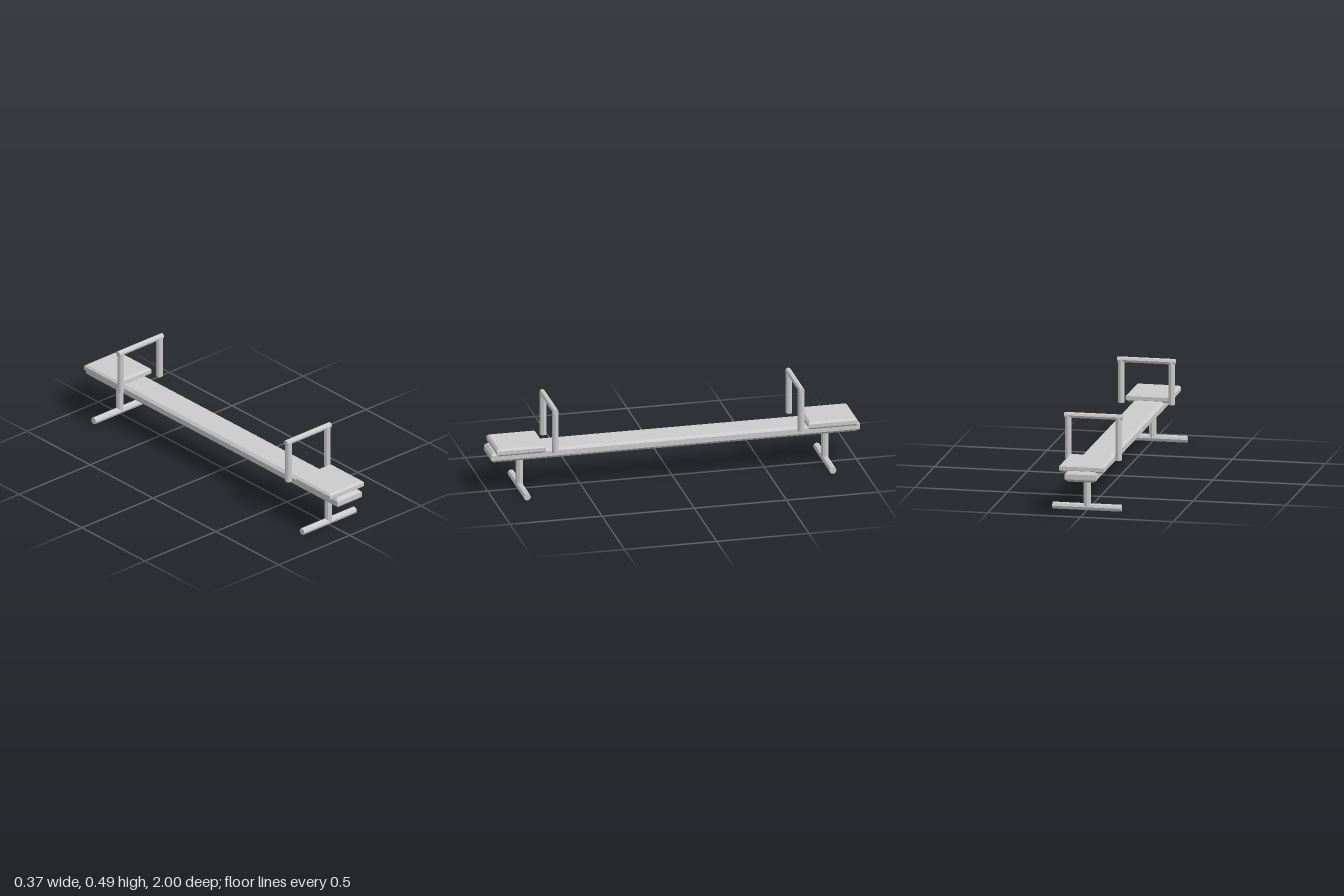
import * as THREE from 'three';

const paint = new THREE.MeshStandardMaterial({ color: 0xcccccc, flatShading: true });
paint.name = 'light grey';

function add(parent, name, geometry, x, y, z) {
  const mesh = new THREE.Mesh(geometry, paint);
  mesh.name = name;
  mesh.position.set(x, y, z);
  parent.add(mesh);
  return mesh;
}

// Box whose top and bottom rims are bevelled at 45 degrees
function bevelledBox(w, h, d, bevel) {
  const geo = new THREE.BoxGeometry(w, h, d, 1, 3, 1);
  const p = geo.attributes.position;
  for (let i = 0; i < p.count; i++) {
    const x = p.getX(i), y = p.getY(i), z = p.getZ(i);
    if (Math.abs(y) > h * 0.4) {
      p.setXYZ(i, x - Math.sign(x) * bevel, y, z - Math.sign(z) * bevel);
    } else {
      p.setY(i, Math.sign(y) * (h / 2 - bevel));
    }
  }
  geo.computeVertexNormals();
  return geo;
}

// Eight-sided upright tube between two heights
function upright(parent, name, radius, x, y0, y1, z) {
  add(parent, name, new THREE.CylinderGeometry(radius, radius, y1 - y0, 8), x, (y0 + y1) / 2, z);
}

// Eight-sided tube lying along x
function crossTube(parent, name, radius, length, y, z) {
  const geo = new THREE.CylinderGeometry(radius, radius, length, 8).rotateZ(Math.PI / 2);
  add(parent, name, geo, 0, y, z);
}

export function createModel() {
  const model = new THREE.Group();
  model.name = 'seesaw';

  // Long plank
  add(model, 'plank', bevelledBox(0.17, 0.056, 2, 0.014), 0, 0.215, 0);

  for (const side of [1, -1]) {
    const end = new THREE.Group();
    end.name = side > 0 ? 'frontEnd' : 'backEnd';

    // Seat pad
    add(end, 'seat', bevelledBox(0.242, 0.041, 0.266, 0.0105), 0, 0.2545, side * 0.845);

    // Hand rail: two posts and a grip
    const handle = new THREE.Group();
    handle.name = 'handle';
    for (const x of [-0.136, 0.136]) upright(handle, 'handlePost', 0.018, x, 0.24, 0.472, side * 0.667);
    crossTube(handle, 'handleGrip', 0.0155, 0.312, 0.4725, side * 0.667);
    end.add(handle);

    // Foot rest: stem and bar
    const foot = new THREE.Group();
    foot.name = 'footRest';
    upright(foot, 'footStem', 0.02, 0, 0.019, 0.195, side * 0.829);
    crossTube(foot, 'footBar', 0.019, 0.37, 0.019, side * 0.829);
    end.add(foot);

    model.add(end);
  }
  return model;
}
